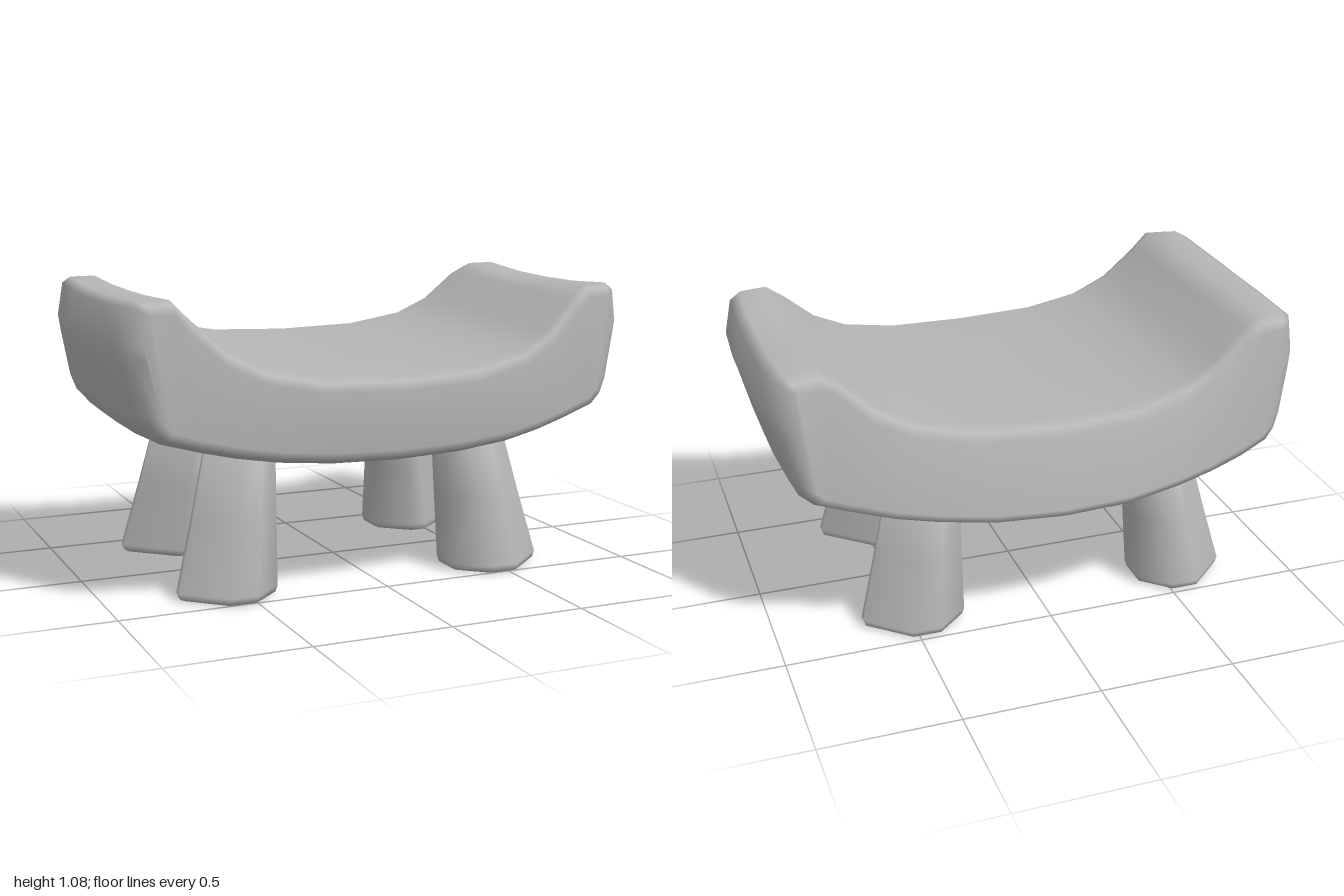
import * as THREE from 'three';

const stone = new THREE.MeshStandardMaterial({ color: 0xb6b6b6 });
stone.name = 'grey stone';

// Skin a list of equal-length rings and close both ends with strips.
function loft(rings) {
  const n = rings[0].length, index = [], last = (rings.length - 1) * n;
  for (let k = 0; k < rings.length - 1; k++) {
    for (let i = 0; i < n; i++) {
      const a = k * n + i, b = k * n + (i + 1) % n;
      index.push(a, b, b + n, a, b + n, a + n);
    }
  }
  for (let i = 0; i < n / 2 - 1; i++) {
    const j = n - 1 - i;
    index.push(i, j, j - 1, i, j - 1, i + 1);
    index.push(last + i, last + j - 1, last + j, last + i, last + i + 1, last + j - 1);
  }
  const geo = new THREE.BufferGeometry();
  geo.setAttribute('position', new THREE.Float32BufferAttribute(rings.flat(2), 3));
  geo.setIndex(index);
  geo.computeVertexNormals();
  return geo;
}

// Piecewise linear lookup in [x, value] pairs.
function lookup(table, x) {
  if (x <= table[0][0]) return table[0][1];
  for (let i = 1; i < table.length; i++) {
    const [x0, v0] = table[i - 1], [x1, v1] = table[i];
    if (x <= x1) return v0 + (v1 - v0) * (x - x0) / (x1 - x0);
  }
  return table[table.length - 1][1];
}

const mirrored = (half) => [...half, ...half.slice(0, -1).reverse().map(([x, y]) => [-x, y])];

// Curved seat: saddle outline swept from front to back, with rounded edges.
function seatGeometry() {
  const top = mirrored([[-1, 0.94], [-0.97, 1.06], [-0.93, 1.08], [-0.82, 1.08], [-0.75, 1.03],
    [-0.63, 0.925], [-0.5, 0.86], [-0.3, 0.82], [0, 0.808]]);
  const bottom = mirrored([[-0.985, 0.86], [-0.94, 0.69], [-0.91, 0.63], [-0.86, 0.59], [-0.73, 0.555],
    [-0.6, 0.525], [-0.45, 0.5], [-0.25, 0.48], [0, 0.473]]);
  const outline = [...top, ...bottom.reverse()];
  const n = outline.length;

  // Plan of the front and back edges; the right arm is a little shorter.
  const front = [[-1, 0.58], [-0.95, 0.6], [-0.8, 0.61], [-0.4, 0.64], [0, 0.64], [0.25, 0.625],
    [0.46, 0.605], [0.8, 0.525], [0.95, 0.505], [1, 0.48]];
  const back = [[-1, -0.49], [-0.95, -0.52], [-0.8, -0.56], [-0.55, -0.6], [-0.27, -0.645], [0, -0.65],
    [0.27, -0.63], [0.6, -0.57], [0.8, -0.525], [0.95, -0.51], [1, -0.48]];

  // [inset from outline, blend front to back, depth behind the face, pinch of the arm ends]
  const slices = [[0.045, 0, 0, 0.045], [0.014, 0, 0.016, 0.03], [0, 0, 0.05, 0.01], [0, 0.3, 0, 0],
    [0, 0.5, 0, 0], [0, 0.7, 0, 0], [0, 1, -0.05, 0.01], [0.014, 1, -0.016, 0.03], [0.045, 1, 0, 0.045]];

  return loft(slices.map(([inset, t, depth, pinch]) => outline.map(([px, py], i) => {
    const p = outline[(i + n - 1) % n], q = outline[(i + 1) % n];
    const dx = q[0] - p[0], dy = q[1] - p[1], len = Math.hypot(dx, dy);
    let x = px + inset * dy / len;
    let y = py - inset * dx / len;
    const middle = 1 - x * x, edge = (2 * t - 1) ** 2;
    const zf = lookup(front, x) - 0.15 * Math.max(0, 0.6 - y) * middle;
    const zb = lookup(back, x) + 0.3 * Math.max(0, y - 0.56) * middle;
    const z = zf + (zb - zf) * t - depth * (1 + 0.6 * x ** 8);
    // Arm ends draw in at their corners, most at the back of the right arm.
    x *= 1 - x ** 4 * (pinch + (x < 0 ? 0.03 * t * t : 0));
    if (i >= top.length) y += 0.015 * edge; // crowned underside
    else if (px < -0.8) y -= 0.01 * (1 - edge); // arms dip along their length
    else if (px > 0.8) y -= 0.02 * (1 - edge) + 0.015 * (1 - t);
    else y -= 0.035 * z; // sitting surface rises slightly towards the back
    return [x, y, z];
  })));
}

// Unevenly chamfered ring of a leg: x and z run from the inner to the outer side.
function legRing(y, xIn, xOut, zIn, zOut, inset = 0) {
  const su = Math.sign(xOut - xIn), sv = Math.sign(zOut - zIn);
  const hx = (xOut - xIn) / 2 - su * inset, hz = (zOut - zIn) / 2 - sv * inset;
  const ring = [[1, 0.18], [0.18, 1], [-0.4, 1], [-1, 0.4], [-1, -0.36], [-0.36, -1], [0, -1], [1, 0]]
    .map(([u, v]) => [(xIn + xOut) / 2 + u * hx, y, (zIn + zOut) / 2 + v * hz]);
  return su * sv > 0 ? ring.reverse() : ring;
}

function legGeometry(foot, head) {
  const at = (t) => foot.map((v, i) => v + (head[i] - v) * t);
  return loft([
    legRing(0.005, ...foot, 0.025),
    legRing(0.012, ...foot, 0.008),
    legRing(0.035, ...foot),
    legRing(0.28, ...at(0.48)),
    legRing(0.56, ...head),
  ]);
}

export function createModel() {
  const group = new THREE.Group();
  group.name = 'stool';
  const add = (name, geo) => {
    const mesh = new THREE.Mesh(geo, stone);
    mesh.name = name;
    group.add(mesh);
  };

  add('seat', seatGeometry());

  // Four splayed legs: inner and outer x and z at the foot and at the head.
  const sides = { Right: [[-0.395, -0.75], [-0.37, -0.615]], Left: [[0.305, 0.68], [0.295, 0.55]] };
  const ends = { front: [[0.19, 0.52], [0.17, 0.415]], back: [[-0.16, -0.49], [-0.15, -0.39]] };
  for (const [side, [xFoot, xHead]] of Object.entries(sides)) {
    for (const [end, [zFoot, zHead]] of Object.entries(ends)) {
      add(`${end}${side}Leg`, legGeometry([...xFoot, ...zFoot], [...xHead, ...zHead]));
    }
  }
  return group;
}
